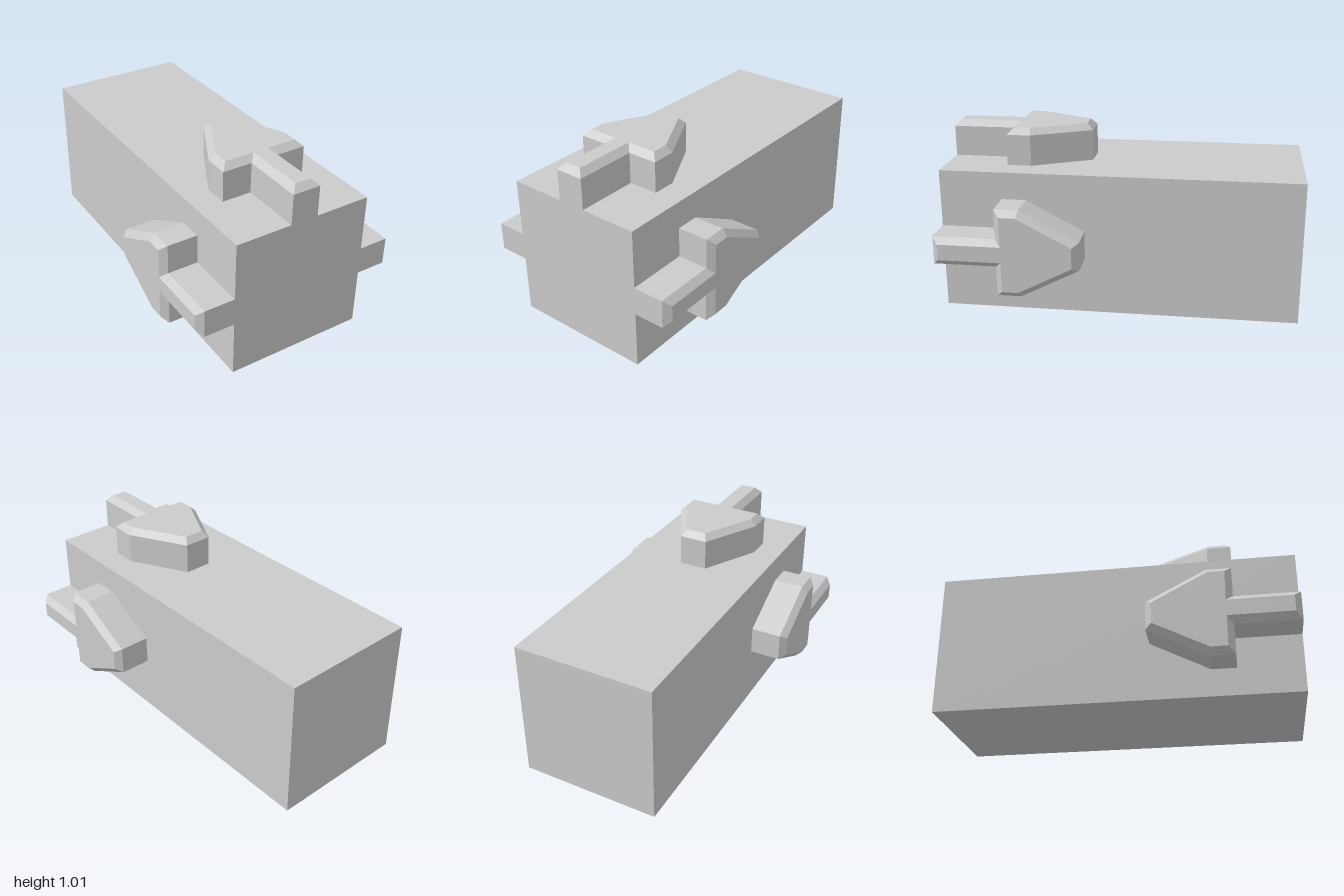
import * as THREE from 'three';

const WIDTH = 0.8, HEIGHT = 0.806, LENGTH = 2, BEVEL = 0.035;

// Arrow-shaped key lying on the xz plane, rising along +y, pointing to -z
function arrowKeyGeometry() {
  // Half outline: [half width, z], from the stem's front end to the tip
  const half = [[0.08, 1], [0.08, 0.65], [0.25, 0.65], [0.25, 0.515], [0.08, 0.19]];
  const right = half.map(([x, z]) => new THREE.Vector2(x, -z));
  const left = half.map(([x, z]) => new THREE.Vector2(-x, -z)).reverse();
  const geometry = new THREE.ExtrudeGeometry(new THREE.Shape([...right, ...left]), {
    depth: 0.174,
    bevelEnabled: true,
    bevelThickness: BEVEL,
    bevelSize: BEVEL,
    bevelOffset: -BEVEL,
    bevelSegments: 1,
  });
  // The lower bevel is sunk inside the block
  return geometry.rotateX(-Math.PI / 2);
}

export function createModel() {
  const model = new THREE.Group();
  model.name = 'keyedBlock';
  const material = new THREE.MeshStandardMaterial({ color: 0xcccccc, flatShading: true });

  // Main block
  const block = new THREE.Mesh(new THREE.BoxGeometry(WIDTH, HEIGHT, LENGTH), material);
  block.name = 'block';
  block.position.y = HEIGHT / 2;
  model.add(block);

  // One arrow key on the top and one on each side
  const keyGeometry = arrowKeyGeometry();
  const keys = [
    ['topArrow', 0, HEIGHT, 0],
    ['leftArrow', WIDTH / 2, HEIGHT / 2, -Math.PI / 2],
    ['rightArrow', -WIDTH / 2, HEIGHT / 2, Math.PI / 2],
  ];
  for (const [name, x, y, turn] of keys) {
    const key = new THREE.Mesh(keyGeometry, material);
    key.name = name;
    key.position.set(x, y, 0);
    key.rotation.z = turn;
    model.add(key);
  }
  return model;
}
